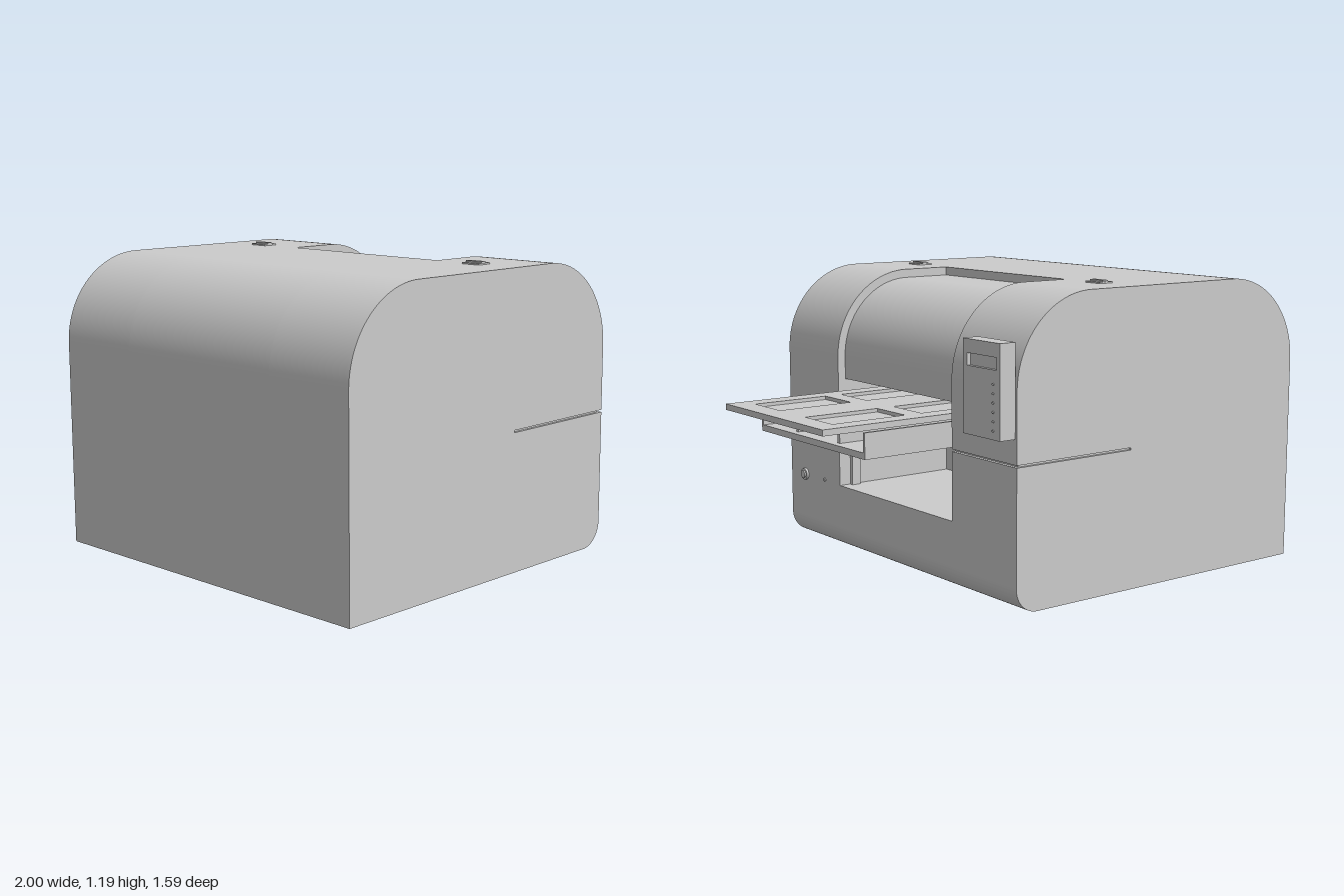
import * as THREE from 'three';
import { toCreasedNormals } from 'three/addons/utils/BufferGeometryUtils.js';

const material = new THREE.MeshStandardMaterial({ color: 0xcccccc, side: THREE.DoubleSide });
const HALF = 0.795, BAY = 0.4, BACK = -1, FRONT = 0.45, TOP = 1.18, R = 0.35;
const BAY_X = -0.11, BAY_Y = 0.28;

export function createModel() {
  const model = new THREE.Group();

  function add(name, geometry) {
    const mesh = new THREE.Mesh(geometry, material);
    mesh.name = name;
    model.add(mesh);
    return mesh;
  }
  // Box given by its limits on each axis
  function box(name, x0, x1, y0, y1, z0, z1) {
    const g = new THREE.BoxGeometry(x1 - x0, y1 - y0, z1 - z0);
    return add(name, g.translate((x0 + x1) / 2, (y0 + y1) / 2, (z0 + z1) / 2));
  }
  // Side profile swept along z, smooth over the rounded corners
  function sweep(name, shape, z0, z1) {
    const g = new THREE.ExtrudeGeometry(shape, { depth: z1 - z0, bevelEnabled: false, curveSegments: 20 });
    return add(name, toCreasedNormals(g, 0.5).translate(0, 0, z0));
  }
  function lowerProfile() {
    const s = new THREE.Shape();
    s.moveTo(BACK, 0);
    s.lineTo(FRONT - 0.1, 0);
    s.absarc(FRONT - 0.1, 0.1, 0.1, -Math.PI / 2, 0, false);
    return s;
  }
  function backCorner(s) {
    s.absarc(BACK + R, TOP - R, R, Math.PI / 2, Math.PI, false);
    s.lineTo(BACK, 0);
    return s;
  }
  // Full profile with a seam groove that starts at x = seam
  function fullProfile(seam) {
    const s = lowerProfile();
    s.lineTo(FRONT, 0.553);
    s.lineTo(seam, 0.553);
    s.lineTo(seam, 0.562);
    s.lineTo(FRONT, 0.562);
    s.absarc(FRONT - R, TOP - R, R, 0, Math.PI / 2, false);
    return backCorner(s);
  }

  // Housing: two side blocks with a shallow seam, and a middle cut away for the bay
  const core = fullProfile(0.435), skin = fullProfile(BAY_X);
  const e = HALF - 0.012;
  sweep('leftHousing', core, BAY, e);
  sweep('leftHousingEnd', skin, e, HALF);
  sweep('rightHousing', core, -e, -BAY);
  sweep('rightHousingEnd', skin, -HALF, -e);
  const middle = lowerProfile();
  middle.lineTo(FRONT, BAY_Y);
  middle.lineTo(BAY_X, BAY_Y);
  middle.lineTo(BAY_X, TOP);
  sweep('middleHousing', backCorner(middle), -BAY, BAY);

  // Curved bay cover, set a little below the housing surface
  const cover = new THREE.Shape();
  const inset = 0.035, thick = 0.02, cx = FRONT - R, cy = TOP - R;
  cover.moveTo(BAY_X, TOP - inset);
  cover.lineTo(cx, TOP - inset);
  cover.absarc(cx, cy, R - inset, Math.PI / 2, 0, true);
  cover.lineTo(FRONT - inset, 0.735);
  cover.lineTo(FRONT - inset - thick, 0.735);
  cover.absarc(cx, cy, R - inset - thick, 0, Math.PI / 2, false);
  cover.lineTo(BAY_X, TOP - inset - thick);
  sweep('bayCover', cover, -BAY, BAY);

  // Upper tray with four recessed windows
  const tray = new THREE.Shape();
  tray.moveTo(0.1, -0.363);
  tray.lineTo(1, -0.363);
  tray.lineTo(1, 0.363);
  tray.lineTo(0.1, 0.363);
  tray.closePath();
  for (const x of [0.185, 0.585]) {
    for (const z of [-0.285, 0.095]) {
      const hole = new THREE.Path();
      hole.moveTo(x, z);
      hole.lineTo(x, z + 0.19);
      hole.lineTo(x + 0.325, z + 0.19);
      hole.lineTo(x + 0.325, z);
      hole.closePath();
      tray.holes.push(hole);
    }
  }
  const frame = new THREE.ExtrudeGeometry(tray, { depth: 0.014, bevelEnabled: false });
  add('upperTrayFrame', frame.rotateX(Math.PI / 2).translate(0, 0.692, 0));
  box('upperTrayBase', 0.1, 1, 0.668, 0.678, -0.363, 0.363);

  // Lower tray with side walls, dividers and a stepped grip
  box('lowerTray', 0.1, 0.83, 0.563, 0.588, -0.378, 0.378);
  for (const s of [-1, 1]) {
    const span = (a, b) => (s > 0 ? [a, b] : [-b, -a]);
    box('trayWall', 0.1, 0.83, 0.588, 0.664, ...span(0.366, 0.378));
    box('trayDivider', 0.12, 0.8, 0.588, 0.668, ...span(0.145, 0.16));
    box('gripStep', 0.62, 0.7, 0.588, 0.628, ...span(0.04, 0.07));
    box('bayRail', 0.36, 0.4, BAY_Y, 0.664, ...span(0.379, 0.395));
  }

  // Control panel with a recessed screen and a column of buttons
  const panel = new THREE.Shape();
  panel.moveTo(-0.785, 0.657);
  panel.lineTo(-0.565, 0.657);
  panel.lineTo(-0.565, 1.01);
  panel.lineTo(-0.785, 1.01);
  panel.closePath();
  const screen = new THREE.Path();
  screen.moveTo(-0.76, 0.912);
  screen.lineTo(-0.76, 0.958);
  screen.lineTo(-0.587, 0.958);
  screen.lineTo(-0.587, 0.912);
  screen.closePath();
  panel.holes.push(screen);
  const face = new THREE.ExtrudeGeometry(panel, { depth: 0.015, bevelEnabled: false });
  // Turn the outline's x into z while sweeping along x
  face.applyMatrix4(new THREE.Matrix4().makeBasis(
    new THREE.Vector3(0, 0, -1), new THREE.Vector3(0, 1, 0), new THREE.Vector3(1, 0, 0)));
  face.translate(0.505, 0, -1.35);
  add('controlPanelFace', face);
  box('controlPanelBody', FRONT, 0.505, 0.657, 1.01, -0.785, -0.565);
  for (let i = 0; i < 6; i++) disc('panelButton', 0.005, 0.519, 0.523, 0.69 + i * 0.034, -0.745);

  // Round fittings that face the front of the bay
  function disc(name, r, x0, x1, y, z) {
    const g = new THREE.CylinderGeometry(r, r, x1 - x0, 20);
    return add(name, g.rotateZ(Math.PI / 2).translate((x0 + x1) / 2, y, z));
  }
  disc('powerButtonRing', 0.025, FRONT - 0.01, 0.46, 0.285, 0.677);
  disc('powerButton', 0.016, 0.455, 0.467, 0.285, 0.677);
  disc('indicatorLamp', 0.007, FRONT - 0.01, 0.455, 0.285, 0.52);

  // Latches on top
  for (const z of [-0.597, 0.597]) {
    box('latchBase', -0.145, -0.08, TOP - 0.005, 1.186, z - 0.042, z + 0.042);
    box('latchTab', -0.125, -0.1, 1.184, 1.192, z - 0.038, z + 0.038);
  }
  return model;
}
